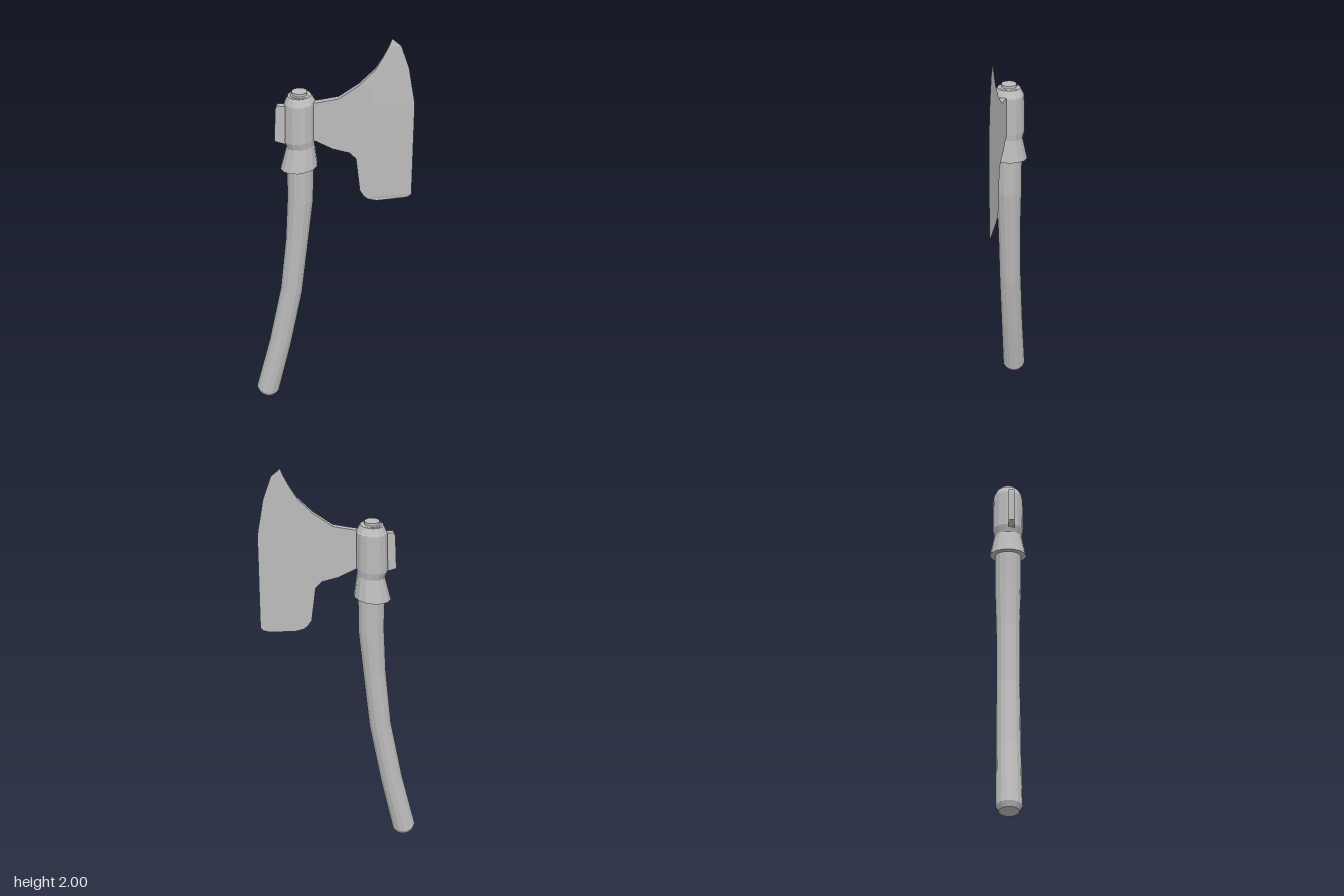
import * as THREE from 'three';

const steel = new THREE.MeshStandardMaterial({ color: 0xbcbcbc });
steel.name = 'grey';

// Skins a stack of closed cross-sections (counter-clockwise from above, listed
// bottom to top), caps both ends and keeps every facet flat.
function loft(sections) {
  const pos = [];
  const tri = (a, b, c) => {
    const area = new THREE.Triangle(a, b, c).getArea();
    if (area > 1e-8) for (const p of [a, b, c]) pos.push(p.x, p.y, p.z);
  };
  const n = sections[0].length;
  for (let j = 0; j < sections.length - 1; j++) {
    const lo = sections[j], hi = sections[j + 1];
    for (let i = 0; i < n; i++) {
      const k = (i + 1) % n;
      tri(lo[i], lo[k], hi[k]);
      tri(lo[i], hi[k], hi[i]);
    }
  }
  const first = sections[0], last = sections[sections.length - 1];
  for (let i = 1; i < n - 1; i++) {
    tri(first[0], first[i + 1], first[i]);
    tri(last[0], last[i], last[i + 1]);
  }
  const geometry = new THREE.BufferGeometry();
  geometry.setAttribute('position', new THREE.Float32BufferAttribute(pos, 3));
  geometry.computeVertexNormals();
  return geometry;
}

// One round section at (x, y), tilted about z
function ring([x, y, r, tilt = 0], sides) {
  return Array.from({ length: sides }, (_, i) => {
    const a = ((i + 0.5) / sides) * Math.PI * 2;
    const u = r * Math.cos(a);
    return new THREE.Vector3(x + u * Math.cos(tilt), y + u * Math.sin(tilt), -r * Math.sin(a));
  });
}

const roundLoft = (rows, sides) => loft(rows.map((row) => ring(row, sides)));

// One blade section: flat back at z = 0, front bevelled down to the cutting edge
function bladeSection([y, back, edge, thick]) {
  const bevel = 0.19;
  const z = thick ?? 0.03 * Math.min(1, (edge - back) / bevel);
  const start = Math.max(back, edge - bevel);
  return [
    new THREE.Vector3(back, y, z),
    new THREE.Vector3(start, y, z),
    new THREE.Vector3(edge, y, 0),
    new THREE.Vector3(back, y, 0),
  ];
}

export function createModel() {
  const model = new THREE.Group();
  model.name = 'axe';
  const add = (name, geometry) => {
    const mesh = new THREE.Mesh(geometry, steel);
    mesh.name = name;
    model.add(mesh);
    return mesh;
  };

  // Curved handle with a chamfered foot: x, y, radius, tilt
  add('handle', roundLoft([
    [-0.332, 0.011, 0.046, -0.2],
    [-0.328, 0.034, 0.059, -0.2],
    [-0.258, 0.33, 0.056, -0.2],
    [-0.195, 0.655, 0.055, -0.15],
    [-0.163, 0.95, 0.056, -0.1],
    [-0.144, 1.18, 0.063, -0.05],
    [-0.142, 1.4, 0.064, 0],
  ], 14));

  // Socket around the handle, flared at the bottom and chamfered on top
  add('socket', roundLoft([
    [-0.148, 1.355, 0.089, 0.1],
    [-0.14, 1.467, 0.067, 0.1],
    [-0.145, 1.5, 0.075, 0.08],
    [-0.141, 1.685, 0.073, 0.04],
    [-0.142, 1.72, 0.055, 0.04],
  ], 14));

  // Peg end showing above the socket
  add('peg', roundLoft([
    [-0.142, 1.7, 0.044],
    [-0.142, 1.722, 0.044],
    [-0.142, 1.725, 0.036],
    [-0.142, 1.738, 0.036],
  ], 14));

  // Blade, bottom to tip: y, rear outline x, cutting edge x, thickness
  add('blade', loft([
    [1.186, 0.22, 0.34, 0.026],
    [1.195, 0.18, 0.37, 0.03],
    [1.21, 0.16, 0.385],
    [1.24, 0.14, 0.385],
    [1.41, 0.12, 0.385],
    [1.44, 0.09, 0.385],
    [1.46, 0.01, 0.385],
    [1.5, -0.07, 0.385],
    [1.505, -0.13, 0.385],
    [1.685, -0.13, 0.385],
    [1.695, -0.06, 0.383],
    [1.715, 0.037, 0.38],
    [1.78, 0.127, 0.368],
    [1.855, 0.2, 0.355],
    [1.91, 0.233, 0.336],
    [1.965, 0.261, 0.317],
    [2.0, 0.275, 0.275],
  ].map(bladeSection)));

  // Small plate on the rear of the socket
  const outline = new THREE.Shape([
    [-0.26, 1.495], [-0.17, 1.47], [-0.17, 1.675], [-0.245, 1.675], [-0.252, 1.66],
  ].map(([x, y]) => new THREE.Vector2(x, y)));
  add('rearPlate', new THREE.ExtrudeGeometry(outline, { depth: 0.03, bevelEnabled: false }));

  return model;
}
